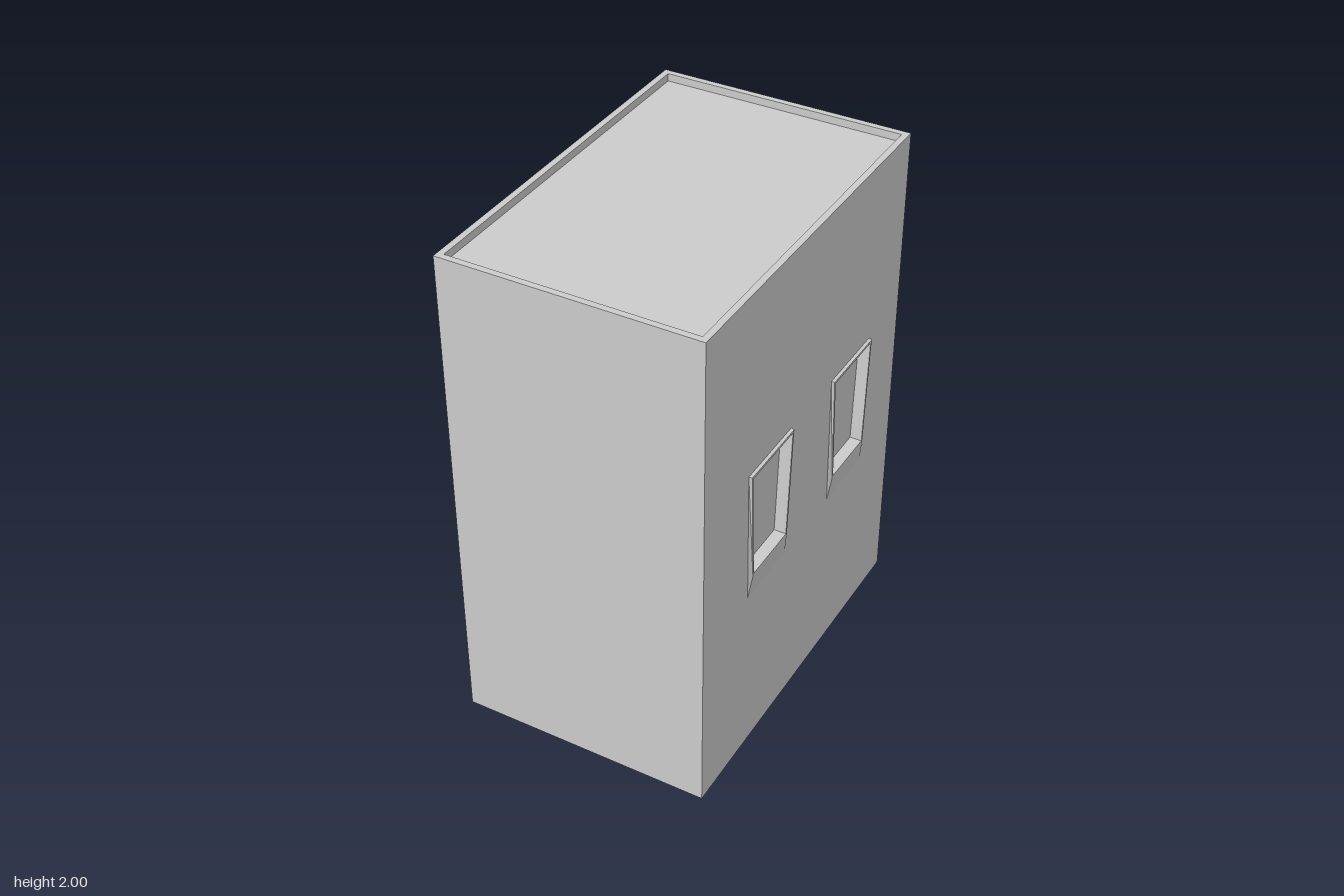
import * as THREE from 'three';

const grey = new THREE.MeshStandardMaterial({ color: 0xcccccc, side: THREE.DoubleSide });

function add(parent, name, geometry) {
  const mesh = new THREE.Mesh(geometry, grey);
  mesh.name = name;
  parent.add(mesh);
  return mesh;
}

// Counterclockwise rectangle outline
const rect = (x0, x1, y0, y1) => [[x0, y0], [x1, y0], [x1, y1], [x0, y1]];

// Joins [outline, depth] rings in order and closes the last one with a pane
function loft(rings) {
  const pos = [];
  const tri = (...pts) => pts.forEach(p => pos.push(...p));
  const loops = rings.map(([outline, d]) => outline.map(([x, y]) => [x, y, d]));
  for (let r = 0; r + 1 < loops.length; r++) {
    const a = loops[r], b = loops[r + 1];
    a.forEach((p, i) => {
      const j = (i + 1) % a.length;
      tri(p, a[j], b[j]);
      tri(p, b[j], b[i]);
    });
  }
  const cap = loops[loops.length - 1];
  for (let i = 1; i + 1 < cap.length; i++) tri(cap[0], cap[i], cap[i + 1]);
  const g = new THREE.BufferGeometry();
  g.setAttribute('position', new THREE.Float32BufferAttribute(pos, 3));
  g.computeVertexNormals();
  return g;
}

function wall(outline, holes, depth) {
  const shape = new THREE.Shape(outline.map(p => new THREE.Vector2(...p)));
  for (const h of holes) shape.holes.push(new THREE.Path(h.map(p => new THREE.Vector2(...p))));
  return new THREE.ShapeGeometry(shape).translate(0, 0, depth);
}

export function createModel() {
  const model = new THREE.Group();
  model.name = 'building';

  // Each side is built facing +z, then turned into place
  const side = (name, rx, ry) => {
    const g = new THREE.Group();
    g.name = name;
    g.rotation.set(rx, ry, 0);
    model.add(g);
    return g;
  };

  // Plain front and back walls
  add(side('frontSide', 0, 0), 'frontWall', wall(rect(-0.49, 0.51, 0, 2), [], 0.75));
  add(side('backSide', 0, Math.PI), 'backWall', wall(rect(-0.51, 0.49, 0, 2), [], 0.75));

  // Sunken roof behind a thin parapet
  const roof = side('roof', -Math.PI / 2, 0);
  const inner = rect(-0.465, 0.485, -0.725, 0.725);
  add(roof, 'parapetAndRoof', loft([[rect(-0.49, 0.51, -0.75, 0.75), 2], [inner, 2], [inner, 1.97]]));

  // Right side: two tapered windows whose sills fade into the wall
  const right = side('rightSide', 0, Math.PI / 2);
  const rightHoles = [];
  for (const u of [-0.285, 0.343]) {
    const trapezoid = (bottom, top, y0, y1) =>
      [[u - bottom, y0], [u + bottom, y0], [u + top, y1], [u - top, y1]];
    const foot = trapezoid(0.142, 0.157, 0.72, 1.272);
    const rim = trapezoid(0.13, 0.155, 0.815, 1.27);
    const opening = trapezoid(0.122, 0.146, 0.825, 1.26);
    rightHoles.push(foot);
    add(right, 'taperedWindow', loft([[foot, 0.51], [rim, 0.522], [opening, 0.522], [opening, 0.475]]));
  }
  add(right, 'rightWall', wall(rect(-0.75, 0.75, 0, 2), rightHoles, 0.51));

  // Left side: framed windows
  const left = side('leftSide', 0, -Math.PI / 2);
  const leftHoles = [];
  for (const u of [-0.343, 0.277]) {
    const outer = rect(u - 0.133, u + 0.133, 0.83, 1.25);
    const opening = rect(u - 0.121, u + 0.121, 0.842, 1.238);
    leftHoles.push(outer);
    add(left, 'framedWindow', loft([[outer, 0.49], [outer, 0.502], [opening, 0.502], [opening, 0.46]]));
  }

  // Recessed arched door with a knob
  const cx = -0.037, hw = 0.157, spring = 0.58, rise = 0.12;
  const door = [[cx - hw, 0], [cx + hw, 0]];
  for (let i = 0; i <= 8; i++) {
    const a = Math.PI * i / 8;
    door.push([cx + hw * Math.cos(a), spring + rise * Math.sin(a)]);
  }
  add(left, 'archedDoor', loft([[door, 0.49], [door, 0.46]]));
  add(left, 'doorKnob', new THREE.SphereGeometry(0.015, 12, 8)).position.set(-0.145, 0.27, 0.47);

  // Left wall outline steps around the door
  const notched = [[-0.75, 0], door[0], ...door.slice(2).reverse(), door[1], [0.75, 0], [0.75, 2], [-0.75, 2]];
  add(left, 'leftWall', wall(notched, leftHoles, 0.49));

  // Long framed sign panel
  const signOuter = rect(-0.53, 0.525, 1.715, 1.85);
  const signInner = rect(-0.513, 0.508, 1.732, 1.833);
  add(left, 'signPanel', loft([[signOuter, 0.49], [signOuter, 0.517], [signInner, 0.517], [signInner, 0.494]]));

  // Small lamp housing in two halves
  for (const y of [1.5325, 1.5775])
    add(left, 'lampHousing', new THREE.BoxGeometry(0.18, 0.045, 0.035)).position.set(0, y, 0.5075);

  return model;
}
